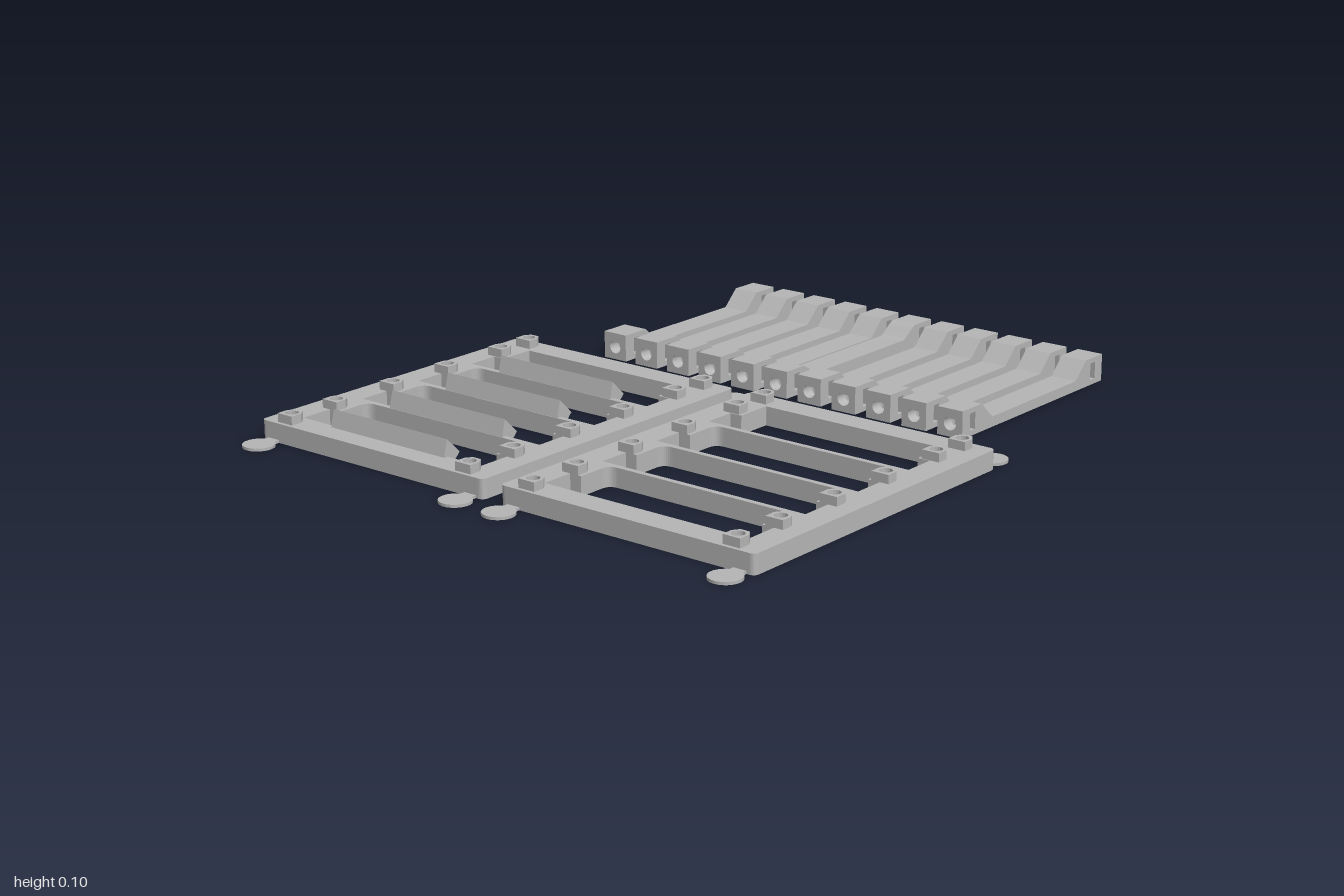
import * as THREE from 'three';

const grey = new THREE.MeshStandardMaterial({ color: 0xb6b6b6 });
grey.name = 'plain grey';

function part(name, geometry, parent) {
  const mesh = new THREE.Mesh(geometry, grey);
  mesh.name = name;
  parent.add(mesh);
  return mesh;
}

const polygon = (points) => new THREE.Shape(points.map(([a, b]) => new THREE.Vector2(a, b)));

// Plan shapes use (x, -z) and rise along y
function rise(shape, height, y = 0) {
  const g = new THREE.ExtrudeGeometry(shape, { depth: height, bevelEnabled: false, curveSegments: 8 });
  return g.rotateX(-Math.PI / 2).translate(0, y, 0);
}

// Side profiles use (z, y) and run along x
function across(points, x0, x1) {
  const g = new THREE.ExtrudeGeometry(polygon(points.map(([z, y]) => [-z, y])), { depth: x1 - x0, bevelEnabled: false });
  return g.rotateY(Math.PI / 2).translate(x0, 0, 0);
}

function roundHole(x, y, r) {
  const p = new THREE.Path();
  p.absarc(x, y, r, 0, Math.PI * 2, true);
  return p;
}

// Round hole with a pointed top
function teardrop(x, y, r) {
  const p = new THREE.Path();
  p.moveTo(x, y + r * 1.414);
  p.absarc(x, y, r, Math.PI * 0.75, Math.PI * 2.25, false);
  p.closePath();
  return p;
}

const PAD_Z = [-0.09, 0.03, 0.255, 0.475, 0.695, 0.862];
const PAD_X = [-0.33, 0.33];
const OPENINGS = [[-0.05, 0.155], [0.172, 0.375], [0.392, 0.595], [0.612, 0.82]];

// Frame opening: narrow between the screw tabs, then full width
function opening(z0, z1, rounded) {
  const wide = 0.33, narrow = 0.293, r = rounded ? 0.03 : 0.002, step = z0 + 0.11;
  const p = new THREE.Path();
  p.moveTo(-wide, -z1);
  p.lineTo(wide, -z1);
  p.lineTo(wide, -step);
  p.lineTo(narrow, -step);
  p.lineTo(narrow, -z0 - r);
  p.quadraticCurveTo(narrow, -z0, narrow - r, -z0);
  p.lineTo(-narrow + r, -z0);
  p.quadraticCurveTo(-narrow, -z0, -narrow, -z0 - r);
  p.lineTo(-narrow, -step);
  p.lineTo(-wide, -step);
  p.closePath();
  return p;
}

function frame(name, x) {
  const group = new THREE.Group();
  group.name = name;
  group.position.x = x;

  // Slatted plate with rounded corners
  const w = 0.41, top = 0.13, bottom = -0.9, r = 0.018;
  const s = new THREE.Shape();
  s.moveTo(-w + r, bottom);
  s.lineTo(w - r, bottom);
  s.quadraticCurveTo(w, bottom, w, bottom + r);
  s.lineTo(w, top - r);
  s.quadraticCurveTo(w, top, w - r, top);
  s.lineTo(-w + r, top);
  s.quadraticCurveTo(-w, top, -w, top - r);
  s.lineTo(-w, bottom + r);
  s.quadraticCurveTo(-w, bottom, -w + r, bottom);
  OPENINGS.forEach(([a, b], i) => s.holes.push(opening(a, b, i > 0)));
  for (const px of PAD_X) for (const z of PAD_Z) s.holes.push(roundHole(px, -z, 0.018));
  part('framePlate', rise(s, 0.055), group);

  // Raised screw bosses
  for (const px of PAD_X) for (const z of PAD_Z) {
    const h = 0.027;
    const boss = polygon([[-h, -h], [h, -h], [h, 0.008], [0.014, h], [-0.014, h], [-h, 0.008]]);
    boss.holes.push(roundHole(0, 0, 0.018));
    part('screwBoss', rise(boss, 0.025, 0.055).translate(px, 0, z), group);
  }

  // Thin corner discs with short necks
  for (const dx of [-0.365, 0.365]) for (const [z, neckZ] of [[-0.18, -0.135], [0.955, 0.905]]) {
    part('cornerDisc', new THREE.CylinderGeometry(0.045, 0.045, 0.008, 32).translate(dx, 0.004, z), group);
    part('discNeck', new THREE.BoxGeometry(0.04, 0.008, 0.03).translate(dx, 0.004, neckZ), group);
  }
  return group;
}

const CAP = 0.037, Z_FRONT = -0.283, Z_BACK = -1;

// Dip along the top of a bar, from front to back
function dip(smooth) {
  if (!smooth) return [[-0.375, 0.08], [-0.43, 0.03], [-0.86, 0.03], [-0.912, 0.08]];
  const pts = [];
  for (let i = 0; i <= 8; i++) pts.push([-0.355 - 0.075 * i / 8, 0.0625 + 0.0175 * Math.cos(Math.PI * i / 8)]);
  for (let i = 0; i <= 8; i++) pts.push([-0.85 - 0.07 * i / 8, 0.0625 - 0.0175 * Math.cos(Math.PI * i / 8)]);
  return pts;
}

function bar(x, smooth) {
  const group = new THREE.Group();
  group.name = 'crossBar';
  group.position.x = x;
  const f = Z_FRONT - CAP, b = Z_BACK + CAP, n = 0.025;

  // Body with nut slots open to one side
  part('barBody', across([
    [f, 0], [f, 0.015], [f - n, 0.015], [f - n, 0.065], [f, 0.065], [f, 0.08],
    ...dip(smooth),
    [b, 0.08], [b, 0.065], [b + n, 0.065], [b + n, 0.015], [b, 0.015], [b, 0],
  ], -0.025, 0.041), group);
  part('barSideWall', across([[f, 0], [f, 0.08], ...dip(smooth), [b, 0.08], [b, 0]], -0.041, -0.025), group);

  // End caps with screw holes
  const end = polygon([[-0.041, 0], [0.041, 0], [0.041, 0.08], [-0.041, 0.08]]);
  end.holes.push(teardrop(0, 0.038, 0.02));
  for (const z of [f, Z_BACK]) {
    const g = new THREE.ExtrudeGeometry(end, { depth: CAP, bevelEnabled: false, curveSegments: 12 });
    part('barEnd', g.translate(0, 0, z), group);
  }
  return group;
}

export function createModel() {
  const model = new THREE.Group();
  model.name = 'slattedFrameKit';

  const finned = frame('finnedFrame', -0.44);
  model.add(finned, frame('openFrame', 0.44));

  // Wedge fins on the slats of one frame
  for (const z of [0.172, 0.392, 0.612, 0.834]) {
    part('wedgeFin', across([
      [z, 0.05], [z - 0.014, 0.103], [z - 0.06, 0.058], [z - 0.014, 0.01],
    ], -0.21, 0.21), finned);
  }

  // Row of loose cross bars, the middle one with a softer dip
  for (let i = -5; i <= 5; i++) model.add(bar(i * 0.12, i === 0));
  return model;
}
